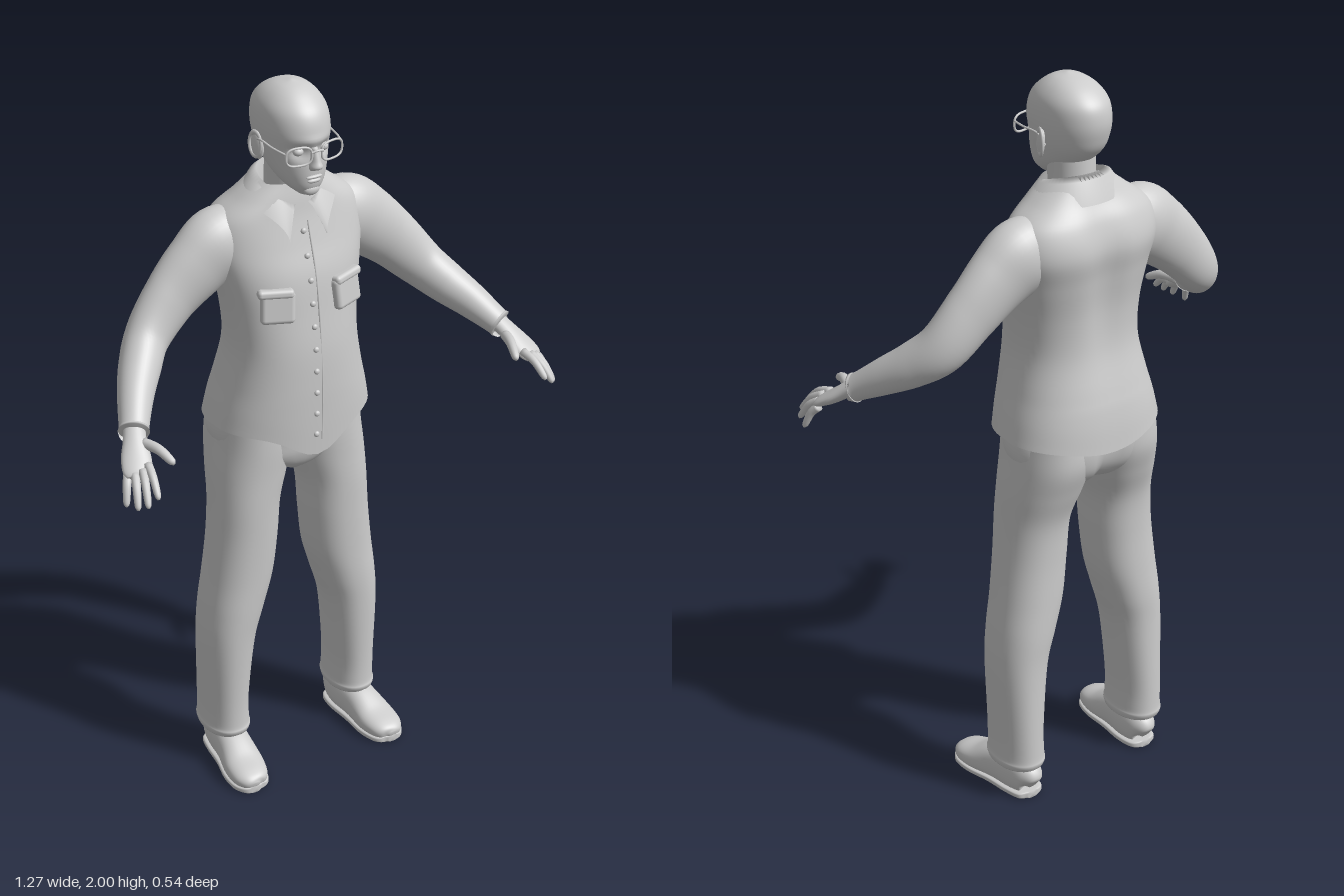
import * as THREE from 'three';
import { RoundedBoxGeometry } from 'three/addons/geometries/RoundedBoxGeometry.js';

const clay = new THREE.MeshStandardMaterial({ color: 0xcccccc, side: THREE.DoubleSide });
clay.name = 'light grey';

const V = (x, y, z) => new THREE.Vector3(x, y, z);
const bump = (d, w) => Math.exp(-(d * d) / (w * w));

// Smooth skin over elliptical stations [x, y, z, halfWidth, halfHeight].
// level: rings stay horizontal; otherwise they follow the path.
function loft(stations, { level = false, power = 2, seg = 40, steps = 6, caps = true, deform } = {}) {
  const path = new THREE.CatmullRomCurve3(stations.map(s => V(s[0], s[1], s[2])), false, 'catmullrom');
  const size = new THREE.CatmullRomCurve3(stations.map(s => V(s[3], s[4], 0)), false, 'catmullrom');
  const rows = (stations.length - 1) * steps, pos = [], idx = [];
  for (let i = 0; i <= rows; i++) {
    const c = path.getPoint(i / rows), r = size.getPoint(i / rows);
    const t = level ? V(0, 1, 0) : path.getTangent(i / rows);
    const u = V(0, level ? 0 : 1, level ? 1 : 0).cross(t).normalize();
    const v = t.clone().cross(u);
    for (let j = 0; j < seg; j++) {
      const q = j / seg * Math.PI * 2, e = 2 / power;
      const cu = Math.sign(Math.cos(q)) * Math.abs(Math.cos(q)) ** e;
      const cv = Math.sign(Math.sin(q)) * Math.abs(Math.sin(q)) ** e;
      const p = c.clone().addScaledVector(u, cu * r.x).addScaledVector(v, cv * r.y);
      if (deform) deform(p, c);
      pos.push(p.x, p.y, p.z);
      const k = i * seg + j, n = i * seg + (j + 1) % seg;
      if (i < rows) idx.push(k, n, k + seg, n, n + seg, k + seg);
    }
  }
  if (caps) {
    const a = stations[0], b = stations[stations.length - 1], m = pos.length / 3;
    pos.push(a[0], a[1], a[2], b[0], b[1], b[2]);
    for (let j = 0; j < seg; j++) {
      const n = (j + 1) % seg, o = rows * seg;
      idx.push(m, n, j, m + 1, o + j, o + n);
    }
  }
  const g = new THREE.BufferGeometry();
  g.setAttribute('position', new THREE.Float32BufferAttribute(pos, 3));
  g.setIndex(idx);
  g.computeVertexNormals();
  return g;
}

// Level station from [y, halfWidth, frontZ, backZ]
const slab = ([y, w, f, b], x = 0) => [x, y, (f + b) / 2, w, (f - b) / 2];

export function createModel() {
  const model = new THREE.Group();
  model.name = 'man';
  const add = (name, geo, x = 0, y = 0, z = 0) => {
    const m = new THREE.Mesh(geo, clay);
    m.name = name;
    m.position.set(x, y, z);
    model.add(m);
    return m;
  };
  const ball = (name, x, y, z, a, b, c) => {
    const m = add(name, new THREE.SphereGeometry(1, 20, 14), x, y, z);
    m.scale.set(a, b, c);
    return m;
  };
  const rod = (name, pts, r) => add(name, new THREE.TubeGeometry(
    new THREE.CatmullRomCurve3(pts.map(p => V(...p))), 12, r, 8));

  // Shirt body with a curved hem and a hollow along the spine
  const shirt = [
    [1.075, .225, .07, -.27], [1.13, .213, .072, -.262], [1.2, .195, .072, -.245], [1.3, .177, .068, -.222],
    [1.4, .182, .055, -.22], [1.5, .2, .04, -.232], [1.58, .215, .015, -.242], [1.65, .2, -.005, -.222],
    [1.7, .14, -.015, -.19], [1.74, .09, -.025, -.17]];
  add('shirt', loft(shirt.map(s => slab(s)), {
    level: true, power: 2.35, seg: 64, caps: false,
    deform: (p, c) => {
      const low = THREE.MathUtils.clamp((1.16 - p.y) / .085, 0, 1);
      if (p.z < c.z) {
        p.z += .018 * bump(p.x, .05) * bump(p.y - 1.5, .2);
        p.y -= low * .035 * bump(p.x, .15);
      } else p.y -= low * .078 * bump(p.x, .1);
    },
  }));
  const frontZ = y => {
    const i = Math.max(1, shirt.findIndex(s => s[0] >= y)), a = shirt[i - 1], b = shirt[i];
    return THREE.MathUtils.lerp(a[2], b[2], Math.max(0, (y - a[0]) / (b[0] - a[0])));
  };

  // Button strip and buttons
  rod('placket', [1.04, 1.2, 1.35, 1.5, 1.64].map(y => [.012, y, frontZ(y) - .001]), .003);
  for (let i = 0; i < 10; i++) {
    const y = 1.06 + i * .062;
    ball('button', -.006, y, frontZ(y) + .002, .008, .008, .006);
  }

  // Turned-down collar: a folded band ending in two points
  const cp = [], ci = [], N = 48, R = 3;
  for (let i = 0; i <= N; i++) {
    const k = i / N * 2 - 1, q = k * Math.PI * .95, f = Math.abs(k);
    const tip = THREE.MathUtils.smoothstep(f, .6, 1);
    const s = Math.sin(q), c = -Math.cos(q);
    const outer = V(s * .135, 1.695, -.09 + c * .105).lerp(V(Math.sign(k) * .055, 1.6, .022), tip);
    const inner = V(s * .078, 1.765 - .07 * f * f, -.088 + c * .07);
    const fold = inner.clone().lerp(outer, .35).add(V(0, .012, 0));
    const base = V(s * .075, 1.66, -.088 + c * .066);
    for (const p of [base, inner, fold, outer]) cp.push(p.x, p.y, p.z);
    for (let j = 0; i < N && j < R; j++) {
      const a = i * 4 + j;
      ci.push(a, a + 1, a + 4, a + 1, a + 5, a + 4);
    }
  }
  const collar = new THREE.BufferGeometry();
  collar.setAttribute('position', new THREE.Float32BufferAttribute(cp, 3));
  collar.setIndex(ci);
  collar.computeVertexNormals();
  add('collar', collar);

  // Trouser seat
  add('trouserSeat', loft([
    [.9, .03, -.04, -.14], [.93, .1, -.005, -.2], [.97, .185, .012, -.235], [1.02, .213, .018, -.25],
    [1.08, .21, .03, -.25], [1.13, .19, .03, -.23]].map(s => slab(s)), {
    level: true, power: 2.3,
    deform: (p, c) => { if (p.z < c.z) p.z += .025 * bump(p.x, .03); },
  }));

  // Neck and head
  add('neck', loft([[0, 1.62, -.09, .066, .066], [0, 1.7, -.085, .06, .062], [0, 1.82, -.075, .06, .066]], { level: true }));
  add('head', loft([
    [1.728, .022, .03, -.02], [1.75, .047, .043, -.07], [1.78, .065, .048, -.125], [1.82, .078, .049, -.17],
    [1.86, .086, .05, -.188], [1.9, .088, .052, -.194], [1.94, .082, .038, -.185], [1.97, .064, .008, -.155],
    [1.99, .038, -.025, -.115], [2, .004, -.06, -.07]].map(s => slab(s)), {
    level: true, power: 2.15, seg: 64,
    deform: (p, c) => {
      if (p.z < c.z + .03) return;
      p.z -= .014 * bump(Math.abs(p.x) - .036, .022) * bump(p.y - 1.848, .018);
      p.z += .006 * bump(p.y - 1.878, .012) * bump(p.x, .05);
    },
  }));
  add('nose', loft([[0, 1.8, .045, .012, .008], [0, 1.812, .054, .017, .02], [0, 1.83, .05, .012, .018],
    [0, 1.862, .046, .008, .01]], { level: true, seg: 20 }));
  ball('upperLip', 0, 1.782, .047, .023, .005, .007);
  ball('lowerLip', 0, 1.771, .046, .019, .006, .007);
  ball('chin', 0, 1.742, .033, .022, .015, .012);
  rod('glassesBridge', [[-.016, 1.855, .063], [0, 1.859, .067], [.016, 1.855, .063]], .003);

  for (const s of [1, -1]) {
    const side = s > 0 ? 'left' : 'right';
    // Eye, ear and glasses
    ball(side + 'Eye', s * .036, 1.85, .03, .014, .011, .012);
    const ear = ball(side + 'Ear', s * .09, 1.84, -.075, .008, .036, .02);
    ear.rotation.set(-.15, -s * .35, 0);
    const earRim = add(side + 'EarRim', new THREE.TorusGeometry(.019, .004, 8, 24), s * .095, 1.843, -.078);
    earRim.rotation.set(0, Math.PI / 2 - s * .35, 0);
    earRim.scale.y = 1.7;
    const rim = [];
    for (let i = 0; i < 24; i++) {
      const q = i / 24 * Math.PI * 2, c = Math.cos(q), d = Math.sin(q);
      const x = Math.sign(c) * Math.abs(c) ** .7 * .033;
      rim.push(V(s * (.047 + x), 1.847 + Math.sign(d) * Math.abs(d) ** .7 * .024, .06 - (x + .033) * .2));
    }
    add(side + 'GlassesRim', new THREE.TubeGeometry(new THREE.CatmullRomCurve3(rim, true), 48, .003, 8, true));
    rod(side + 'GlassesTemple', [[s * .08, 1.857, .047], [s * .09, 1.86, 0], [s * .093, 1.86, -.07], [s * .093, 1.84, -.095]], .0028);

    // Chest pocket with flap
    const pocket = add(side + 'Pocket', new RoundedBoxGeometry(.09, .085, .03, 3, .012), s * .1, 1.44, .036);
    pocket.rotation.set(-.14, s * .33, s * .08);
    const flap = add(side + 'PocketFlap', new RoundedBoxGeometry(.094, .024, .034, 3, .01), s * .103, 1.478, .031);
    flap.rotation.copy(pocket.rotation);

    // Sleeve and cuff
    add(side + 'Sleeve', loft([
      [s * .1, 1.6, -.115, .06, .07], [s * .18, 1.58, -.115, .078, .1], [s * .25, 1.535, -.112, .068, .092],
      [s * .33, 1.465, -.108, .058, .078], [s * .405, 1.385, -.09, .056, .066], [s * .455, 1.335, -.04, .054, .058],
      [s * .5, 1.293, .02, .046, .048], [s * .54, 1.25, .085, .038, .036], [s * .546, 1.244, .095, .04, .038]]));

    // Hand: palm, four fingers, thumb
    add(side + 'Palm', loft([
      [s * .53, 1.262, .065, .028, .024], [s * .553, 1.235, .112, .029, .02], [s * .57, 1.208, .15, .037, .018],
      [s * .583, 1.188, .182, .037, .014], [s * .588, 1.178, .196, .028, .008]], { seg: 24 }));
    [['IndexFinger', .557, 1.2, .188, .574, 1.15, .272], ['MiddleFinger', .575, 1.193, .195, .6, 1.131, .268],
      ['RingFinger', .593, 1.184, .188, .618, 1.12, .248], ['LittleFinger', .606, 1.178, .172, .63, 1.113, .208],
      ['Thumb', .54, 1.228, .13, .507, 1.208, .23]].forEach(([name, x, y, z, X, Y, Z]) => {
      const r = name === 'Thumb' ? .013 : .0105;
      add(side + name, loft([0, .5, .9, 1].map((t, i) => [
        s * THREE.MathUtils.lerp(x, X, t), THREE.MathUtils.lerp(y, Y, t) + .012 * Math.sin(t * Math.PI),
        THREE.MathUtils.lerp(z, Z, t), r * [1.1, 1, .8, .3][i], r * [1.1, 1, .8, .3][i]]), { seg: 12, steps: 4 }));
    });

    // Trouser leg
    add(side + 'TrouserLeg', loft([
      [.1, .063, -.018, -.192, .203], [.115, .066, -.012, -.198, .203], [.135, .063, -.015, -.196, .203],
      [.22, .063, -.014, -.194, .203], [.4, .075, -.005, -.19, .195], [.5, .086, 0, -.192, .178],
      [.6, .094, .002, -.19, .157], [.72, .094, .006, -.188, .143], [.83, .094, .01, -.195, .135],
      [.92, .104, .012, -.222, .12], [1, .107, .015, -.245, .108], [1.08, .1, .015, -.245, .105],
    ].map(p => slab(p, s * p[4])), { level: true, power: 2.2 }));

    // Shoe and sole
    const shoe = [
      [.198, .04, -.176, .012, .015], [.198, .052, -.16, .038, .048], [.2, .058, -.11, .048, .062],
      [.207, .052, -.04, .049, .055], [.215, .036, .03, .056, .038], [.221, .03, .08, .05, .028],
      [.224, .026, .105, .034, .02], [.224, .024, .115, .01, .008]];
    add(side + 'Shoe', loft(shoe.map(([x, y, z, a, b]) => [s * x, y, z, a, b]), {
      power: 2.3, deform: p => { p.y = Math.max(p.y, .006); },
    }));
    add(side + 'Sole', loft(shoe.map(([x, , z, a]) => [s * x, .01, z, a + .003, .01]), { power: 4 }));
  }
  return model;
}
